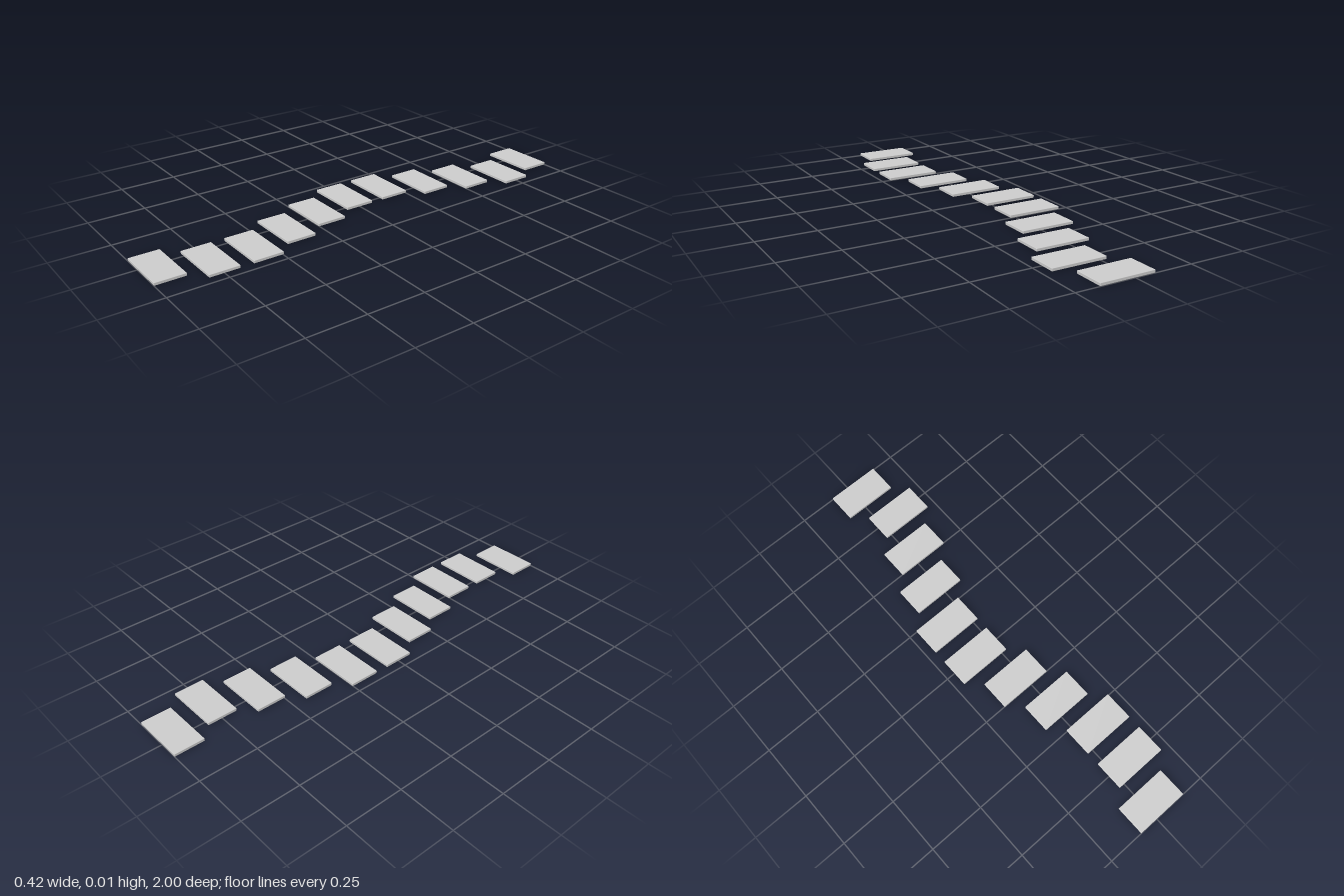
import * as THREE from 'three';
import { RoundedBoxGeometry } from 'three/addons/geometries/RoundedBoxGeometry.js';

// A winding path of flat stepping slabs laid along z
const WIDTH = 0.236, HEIGHT = 0.0125, DEPTH = 0.13;
const PITCH = 0.187;      // spacing between slab centres
const SIDE_STEP = 0.0622; // sideways shift unit
const CENTRE_X = -0.0315;

// Sideways shift of each slab, from back to front
const SHIFTS = [1, 2, 1, 0, -1, -1, 0, 1, 2, 2, 1];

export function createModel() {
  const path = new THREE.Group();
  path.name = 'steppingPath';

  const material = new THREE.MeshStandardMaterial({ color: 0xcccccc });
  // Slab with slightly softened edges
  const slabGeometry = new RoundedBoxGeometry(WIDTH, HEIGHT, DEPTH, 2, 0.002);

  SHIFTS.forEach((shift, i) => {
    const slab = new THREE.Mesh(slabGeometry, material);
    slab.name = `slab${i + 1}`;
    slab.position.set(
      CENTRE_X + shift * SIDE_STEP,
      HEIGHT / 2,
      (i - (SHIFTS.length - 1) / 2) * PITCH
    );
    path.add(slab);
  });

  return path;
}
